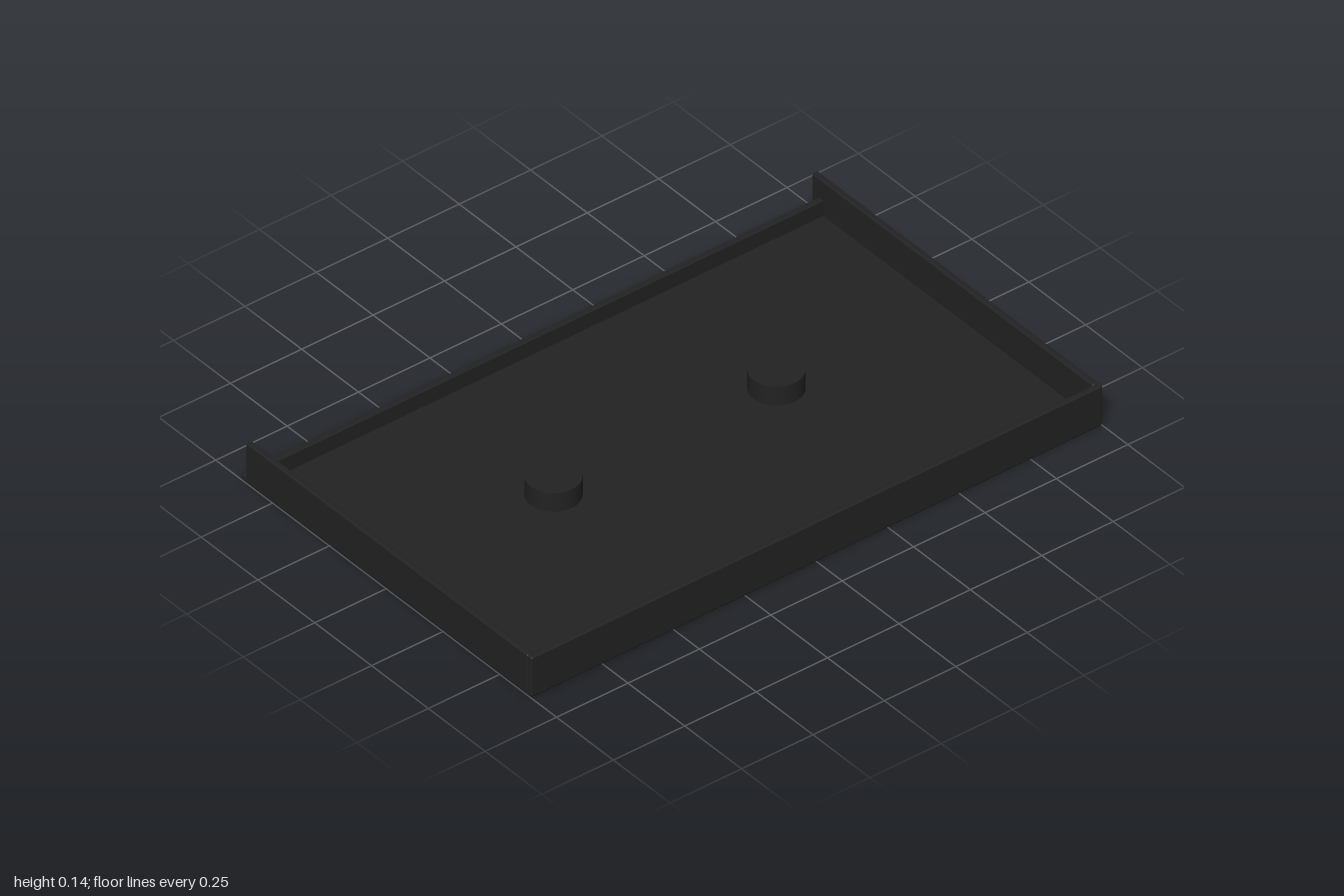
import * as THREE from 'three';
import { RoundedBoxGeometry } from 'three/addons/geometries/RoundedBoxGeometry.js';

export function createModel() {
  const group = new THREE.Group();
  const charcoal = new THREE.MeshStandardMaterial({ color: 0x222222 });
  charcoal.name = 'charcoal';

  // Slightly rounded slab given by its min and max corners
  function slab(name, [x0, y0, z0], [x1, y1, z1], radius = 0.005) {
    const geometry = new RoundedBoxGeometry(x1 - x0, y1 - y0, z1 - z0, 2, radius);
    const mesh = new THREE.Mesh(geometry, charcoal);
    mesh.name = name;
    mesh.position.set((x0 + x1) / 2, (y0 + y1) / 2, (z0 + z1) / 2);
    group.add(mesh);
  }

  // Floor of the tray, reaching a little past the side walls at the back
  slab('floor', [-1, 0, -0.64], [1, 0.021, 0.64], 0.008);

  // Tall walls on the front and both sides; the back is open
  slab('frontWall', [-1, 0.005, 0.62], [1, 0.137, 0.64]);
  slab('leftWall', [0.98, 0.005, -0.617], [1, 0.137, 0.622]);
  slab('rightWall', [-1, 0.005, -0.617], [-0.98, 0.137, 0.622]);

  // Low lip set in from the back edge
  slab('backLip', [-0.985, 0.01, -0.585], [0.985, 0.073, -0.565], 0.003);

  // Two round pegs on the floor
  for (const [name, x] of [['leftPeg', 0.39], ['rightPeg', -0.39]]) {
    const peg = new THREE.Mesh(new THREE.CylinderGeometry(0.08, 0.08, 0.07, 48), charcoal);
    peg.name = name;
    peg.position.set(x, 0.05, -0.03);
    group.add(peg);
  }

  return group;
}
